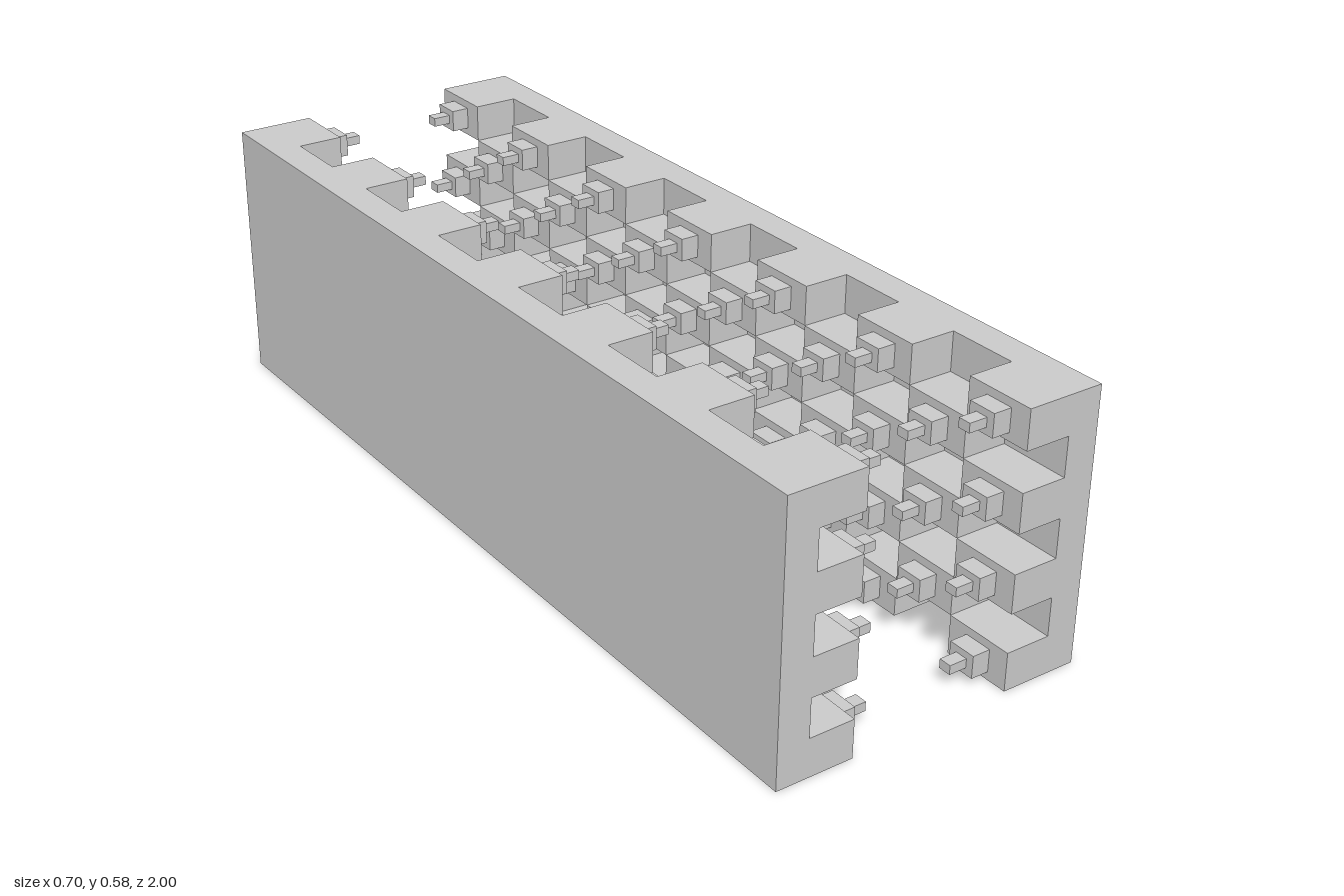
import * as THREE from 'three';

const ROWS = 7, COLS = 13;
const HEIGHT = 0.585, LENGTH = 2;
const CELL_Y = HEIGHT / ROWS, CELL_Z = LENGTH / COLS;
// distances from the middle plane, outermost first
const OUTER = 0.35, RECESS = 0.28, FACE = 0.18, COLLAR = 0.14, TIP = 0.10;

const material = new THREE.MeshStandardMaterial({ color: 0xcccccc, flatShading: true });

// box reaching from x0 to x1, centred on y and z
function slab(name, x0, x1, height, depth, y, z) {
  const mesh = new THREE.Mesh(new THREE.BoxGeometry(Math.abs(x1 - x0), height, depth), material);
  mesh.position.set((x0 + x1) / 2, y, z);
  mesh.name = name;
  return mesh;
}

// one wall: solid back, checkerboard of raised blocks, a stepped peg on each block
function createWall(name, side) {
  const wall = new THREE.Group();
  wall.name = name;
  wall.add(slab('backPlate', side * OUTER, side * RECESS, HEIGHT, LENGTH, HEIGHT / 2, 0));

  for (let row = 0; row < ROWS; row++) {
    for (let col = 0; col < COLS; col++) {
      if ((row + col) % 2) continue; // recessed cell
      const y = (row + 0.5) * CELL_Y;
      const z = (col + 0.5) * CELL_Z - LENGTH / 2;
      wall.add(
        slab('raisedBlock', side * RECESS, side * FACE, CELL_Y, CELL_Z, y, z),
        slab('pegBase', side * FACE, side * COLLAR, 0.049, 0.062, y, z),
        slab('pegTip', side * COLLAR, side * TIP, 0.02, 0.028, y, z)
      );
    }
  }
  return wall;
}

export function createModel() {
  const model = new THREE.Group();
  model.name = 'peggedWalls';
  model.add(createWall('leftWall', 1), createWall('rightWall', -1));
  return model;
}
